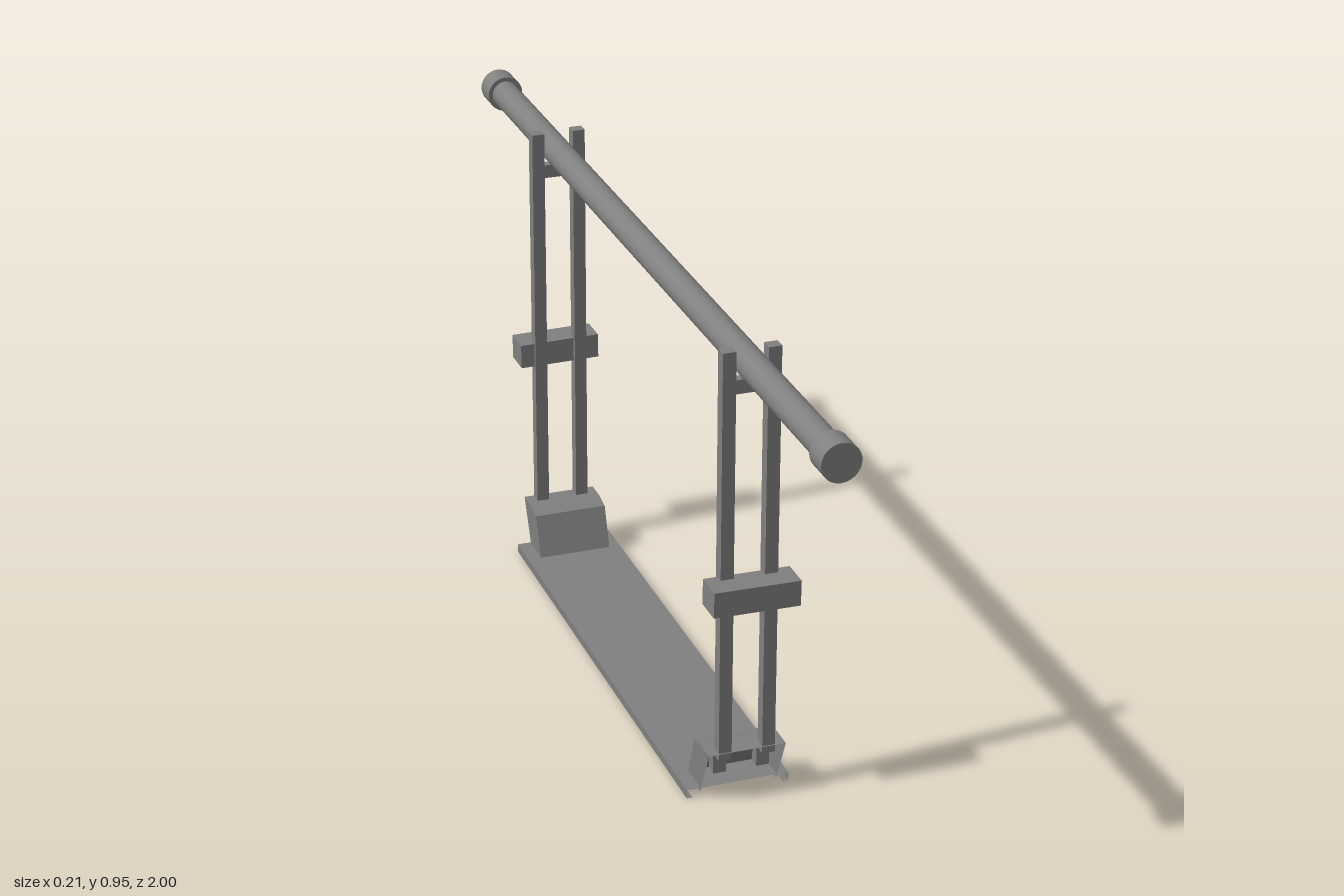
import * as THREE from 'three';

const solid = new THREE.MeshStandardMaterial({ color: 0x808080 });
const sheetMetal = new THREE.MeshStandardMaterial({ color: 0x808080, side: THREE.DoubleSide, flatShading: true });

function add(parent, name, geometry, x = 0, y = 0, z = 0, material = solid) {
  const mesh = new THREE.Mesh(geometry, material);
  mesh.name = name;
  mesh.position.set(x, y, z);
  parent.add(mesh);
  return mesh;
}

const box = (w, h, d) => new THREE.BoxGeometry(w, h, d);

// Thin folded sheet: a profile of [a, b] points swept between two ends by place(a, b, t)
function sheet(profile, place) {
  const pos = [];
  for (let i = 0; i < profile.length - 1; i++) {
    const [p, q] = [profile[i], profile[i + 1]];
    const c = [place(...p, 0), place(...q, 0), place(...q, 1), place(...p, 1)];
    for (const k of [0, 1, 2, 0, 2, 3]) pos.push(...c[k]);
  }
  const g = new THREE.BufferGeometry();
  g.setAttribute('position', new THREE.Float32BufferAttribute(pos, 3));
  g.computeVertexNormals();
  return g;
}

// Post with a stepped foot set inward; outline in (z, y), extruded across x
function postGeometry(top) {
  const shape = new THREE.Shape([
    [0.562, top], [0.562, 0.11], [0.535, 0.1], [0.535, 0.052], [0.557, 0.052], [0.557, 0.096], [0.587, 0.096], [0.587, top],
  ].map(([z, y]) => new THREE.Vector2(-z, y)));
  const g = new THREE.ExtrudeGeometry(shape, { depth: 0.026, bevelEnabled: false });
  g.translate(0, 0, -0.013);
  g.rotateY(Math.PI / 2);
  return g;
}

// One end frame, built at the +z end
function endFrame(name, postTop) {
  const frame = new THREE.Group();
  frame.name = name;
  const post = postGeometry(postTop);
  for (const s of [-1, 1]) add(frame, 'post', post, s * 0.044);
  add(frame, 'barRest', box(0.064, 0.028, 0.02), 0, 0.871, 0.575);

  // Hollow strap cover across the posts, open below
  const cover = new THREE.Group();
  cover.name = 'strapCover';
  cover.position.set(0, 0.456, 0.601);
  cover.rotation.z = -0.015;
  add(cover, 'coverTop', box(0.172, 0.004, 0.062), 0, 0.024, 0);
  for (const s of [-1, 1]) {
    add(cover, 'coverFace', box(0.172, 0.052, 0.004), 0, 0, s * 0.029);
    add(cover, 'coverEnd', box(0.004, 0.052, 0.062), s * 0.084, 0, 0);
  }
  frame.add(cover);

  // Hollow foot bracket, open on its outer side
  const outline = [[0.59, 0.112], [0.542, 0.112], [0.507, 0.104], [0.474, 0.009], [0.544, 0.009]];
  const half = 0.078;
  add(frame, 'bracketShell', sheet(outline.slice(0, 4), (z, y, t) => [half * (2 * t - 1), y, z]), 0, 0, 0, sheetMetal);
  const side = new THREE.ShapeGeometry(new THREE.Shape(outline.map(([z, y]) => new THREE.Vector2(-z, y))));
  side.rotateY(Math.PI / 2);
  for (const s of [-1, 1]) add(frame, 'bracketSide', side, s * half, 0, 0, sheetMetal);
  return frame;
}

export function createModel() {
  const model = new THREE.Group();
  model.name = 'hangingTray';

  // Carrying bar with end caps
  const barX = 0.005, barY = 0.905;
  add(model, 'bar', new THREE.CylinderGeometry(0.029, 0.029, 1.96, 32), barX, barY, 0).rotation.x = Math.PI / 2;
  for (const s of [-1, 1]) {
    add(model, 'barCap', new THREE.CylinderGeometry(0.038, 0.038, 0.055, 32), barX, barY, s * 0.9725).rotation.x = Math.PI / 2;
  }

  // Flat tray with edges folded under
  const profile = [[-0.092, 0], [-0.104, 0], [-0.104, 0.018], [0.104, 0.018], [0.104, 0], [0.092, 0]];
  add(model, 'tray', sheet(profile, (x, y, t) => [x, y, 0.544 * (2 * t - 1)]), -0.002, 0, 0, sheetMetal);

  // End frames, the rear one turned round
  const front = endFrame('frontFrame', 0.942);
  front.position.z = -0.002;
  model.add(front);
  const rear = endFrame('rearFrame', 0.955);
  rear.rotation.y = Math.PI;
  rear.position.z = 0.01;
  model.add(rear);
  return model;
}
